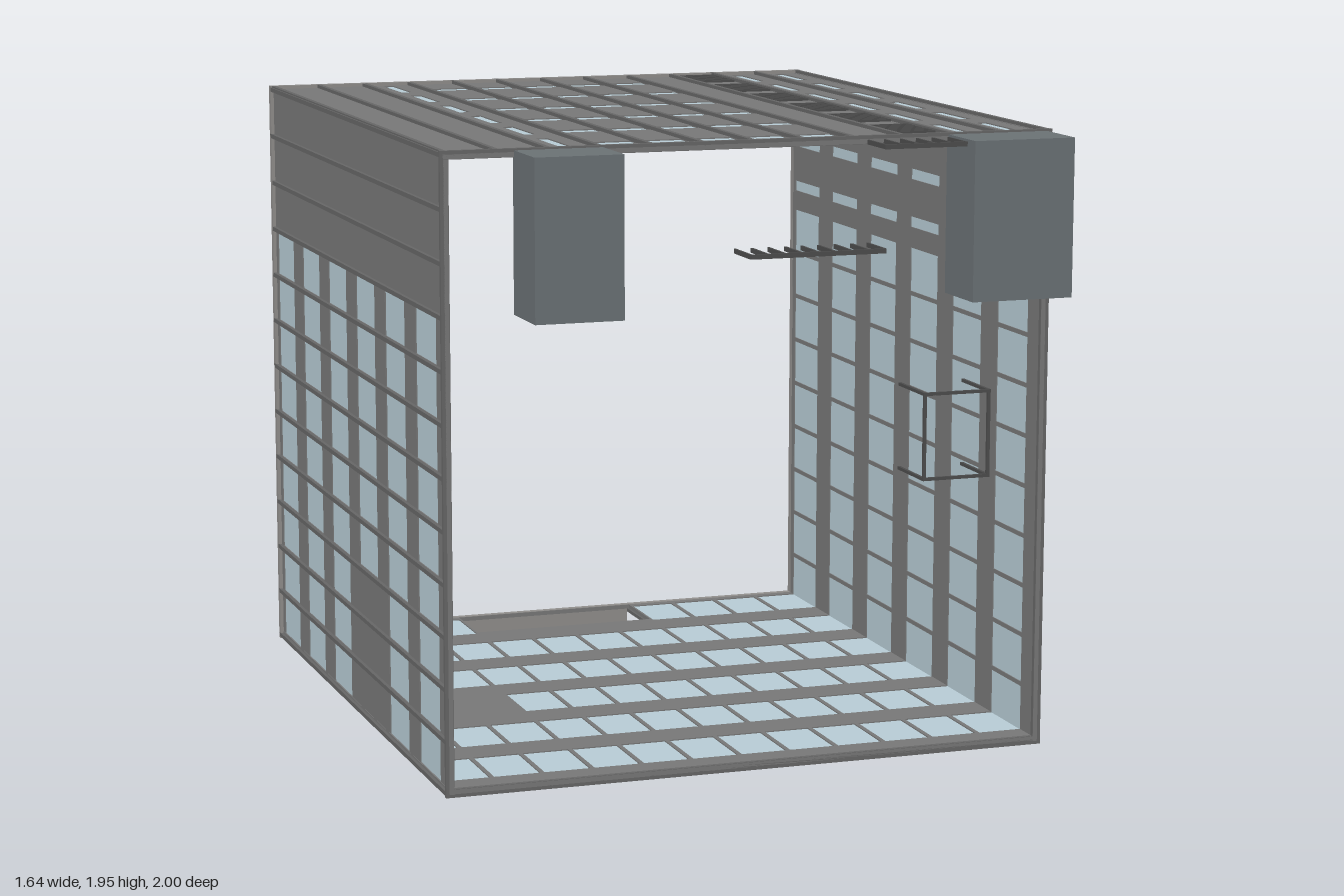
import * as THREE from 'three';

const mat = (color) => new THREE.MeshStandardMaterial({ color, roughness: 0.9, flatShading: true, side: THREE.DoubleSide });
const wallMat = mat(0x777777), ribMat = mat(0x666666), glassMat = mat(0xb6cbd4), boxMat = mat(0x6a7174),
  panelMat = mat(0x8f8d8b), brownMat = mat(0xa08468), darkMat = mat(0x4c4c4c);

const MID = 1.125, CELL = 0.135, BACK = -0.998, FRONT = 0.83;
const COLUMNS = [0, 1, 2, 3, 4, 5].map((i) => 0.65 - 0.302 * i);

// box given by its min and max corners
function block(parent, name, material, x0, x1, y0, y1, z0, z1) {
  const m = new THREE.Mesh(new THREE.BoxGeometry(x1 - x0, y1 - y0, z1 - z0), material);
  m.position.set((x0 + x1) / 2, (y0 + y1) / 2, (z0 + z1) / 2);
  m.name = name;
  parent.add(m);
  return m;
}

// One side of the tube, laid out as a roof; openings are {u, z, w, d, open}
function makeWall(name, openings, angle) {
  const wall = new THREE.Group();
  wall.name = name;
  const rect = (path, u0, u1, z0, z1) =>
    path.moveTo(u0, -z0).lineTo(u1, -z0).lineTo(u1, -z1).lineTo(u0, -z1).closePath();
  const shape = rect(new THREE.Shape(), -0.812, 0.812, BACK, FRONT);
  for (const o of openings) {
    const u0 = o.u - o.w / 2, u1 = o.u + o.w / 2, z0 = o.z - o.d / 2, z1 = o.z + o.d / 2;
    shape.holes.push(rect(new THREE.Path(), u0, u1, z0, z1));
    if (!o.open) block(wall, 'windowPane', glassMat, u0, u1, 0.802, 0.808, z0, z1);
  }
  const plate = new THREE.Mesh(
    new THREE.ExtrudeGeometry(shape, { depth: 0.012, bevelEnabled: false }).rotateX(-Math.PI / 2), wallMat);
  plate.position.y = 0.799;
  plate.name = 'wallPlate';
  wall.add(plate);
  // ledges running front to back along every storey line
  for (let k = -6; k <= 6; k++) {
    const u = k * CELL;
    block(wall, 'ledge', ribMat, u - 0.006, u + 0.006, 0.81, 0.82, BACK, FRONT);
  }
  // edge trims at both open ends
  block(wall, 'frontTrim', ribMat, -0.82, 0.82, 0.798, 0.82, FRONT - 0.012, FRONT);
  block(wall, 'rearTrim', panelMat, -0.82, 0.82, 0.798, 0.82, BACK, BACK + 0.02);
  wall.position.y = MID;
  wall.rotation.z = angle;
  return wall;
}

// openings for storeys k0..k1 in every column, minus those the skip rule rejects
function grid(k0, k1, w, d, dz = 0, skip = () => false) {
  const list = [];
  for (let k = k0; k <= k1; k++)
    COLUMNS.forEach((z, i) => { if (!skip(k, i)) list.push({ u: (k + 0.5) * CELL, z: z + dz, w, d }); });
  return list;
}
const windows = (k0, k1, skip) => grid(k0, k1, 0.123, 0.194, 0, skip);
const slits = (k0, k1) => grid(k0, k1, 0.03, 0.2);

// Canopy of thin slats with a front bar
function makeCanopy(x0, x1, y) {
  const g = new THREE.Group();
  g.name = 'slatCanopy';
  const n = Math.round((x1 - x0) / 0.045);
  for (let i = 0; i <= n; i++) {
    const x = x0 + ((x1 - x0) * i) / n;
    block(g, 'slat', darkMat, x - 0.003, x + 0.003, y - 0.006, y + 0.006, FRONT, 0.95);
  }
  block(g, 'canopyBar', darkMat, x0, x1, y - 0.006, y + 0.006, 0.944, 0.952);
  return g;
}

export function createModel() {
  const model = new THREE.Group();
  model.name = 'openBuilding';

  // four sides of the square tube
  const roof = makeWall('roof', [...grid(-3, 1, 0.123, 0.06, 0.054), ...slits(-4, -4), ...slits(4, 5)], 0);
  const right = makeWall('slitWall', [...windows(-3, 5), ...slits(-6, -4)], -Math.PI / 2);
  const left = makeWall('plainTopWall', windows(-6, 2, (k, i) => i === 2 && k <= -4), Math.PI / 2);
  const floor = makeWall('floor', [
    ...windows(-6, 5, (k, i) => (i === 2 && k >= 3) || (i === 5 && k >= -2 && k <= 1)),
    { u: 0, z: -0.877, w: 0.54, d: 0.2, open: true },
  ], Math.PI);
  // ledges do not cross the floor opening
  floor.children.filter((c) => c.name === 'ledge' && Math.abs(c.position.x) < 0.2).forEach((c) => {
    c.scale.z = (FRONT + 0.775) / (FRONT - BACK);
    c.position.z = (FRONT - 0.775) / 2;
  });
  model.add(roof, right, left, floor);

  // louvred roof vents
  for (const z of COLUMNS)
    for (let i = 0; i < 9; i++) {
      const zi = z - 0.09 + i * 0.0225;
      block(roof, 'louvre', darkMat, 0.412, 0.53, 0.81, 0.817, zi - 0.004, zi + 0.004);
    }

  // boxes hung on the front edge
  block(model, 'frontBox', boxMat, -0.63, -0.4, 1.53, 1.94, FRONT - 0.01, 1);
  block(model, 'frontBox', boxMat, 0.53, 0.805, 1.53, 1.94, FRONT - 0.01, 1);

  // slat canopies
  model.add(makeCanopy(-0.05, 0.31, 1.665), makeCanopy(0.31, 0.53, 1.928));

  // open balcony frame of thin bars
  const frame = new THREE.Group();
  frame.name = 'balconyFrame';
  const t = 0.008;
  for (const y of [1.08, 1.3]) {
    block(frame, 'crossBar', darkMat, 0.4, 0.584, y - t / 2, y + t / 2, 1 - t, 1);
    for (const x of [0.404, 0.58])
      block(frame, 'sideBar', darkMat, x - t / 2, x + t / 2, y - t / 2, y + t / 2, FRONT, 1);
  }
  for (const x of [0.404, 0.58])
    block(frame, 'uprightBar', darkMat, x - t / 2, x + t / 2, 1.08, 1.3, 1 - t, 1);
  model.add(frame);

  // rear hanging panel, inner brown panel and their struts
  block(model, 'hangingPanel', panelMat, -0.27, 0.27, 0, 0.305, -1, -0.994);
  block(model, 'innerPanel', brownMat, -0.27, 0.27, 0.19, 0.31, -0.78, -0.77);
  for (const s of [-1, 1])
    block(model, 'strut', ribMat, s * 0.264 - 0.006, s * 0.264 + 0.006, 0.205, 0.217, -0.996, -0.77);

  return model;
}
